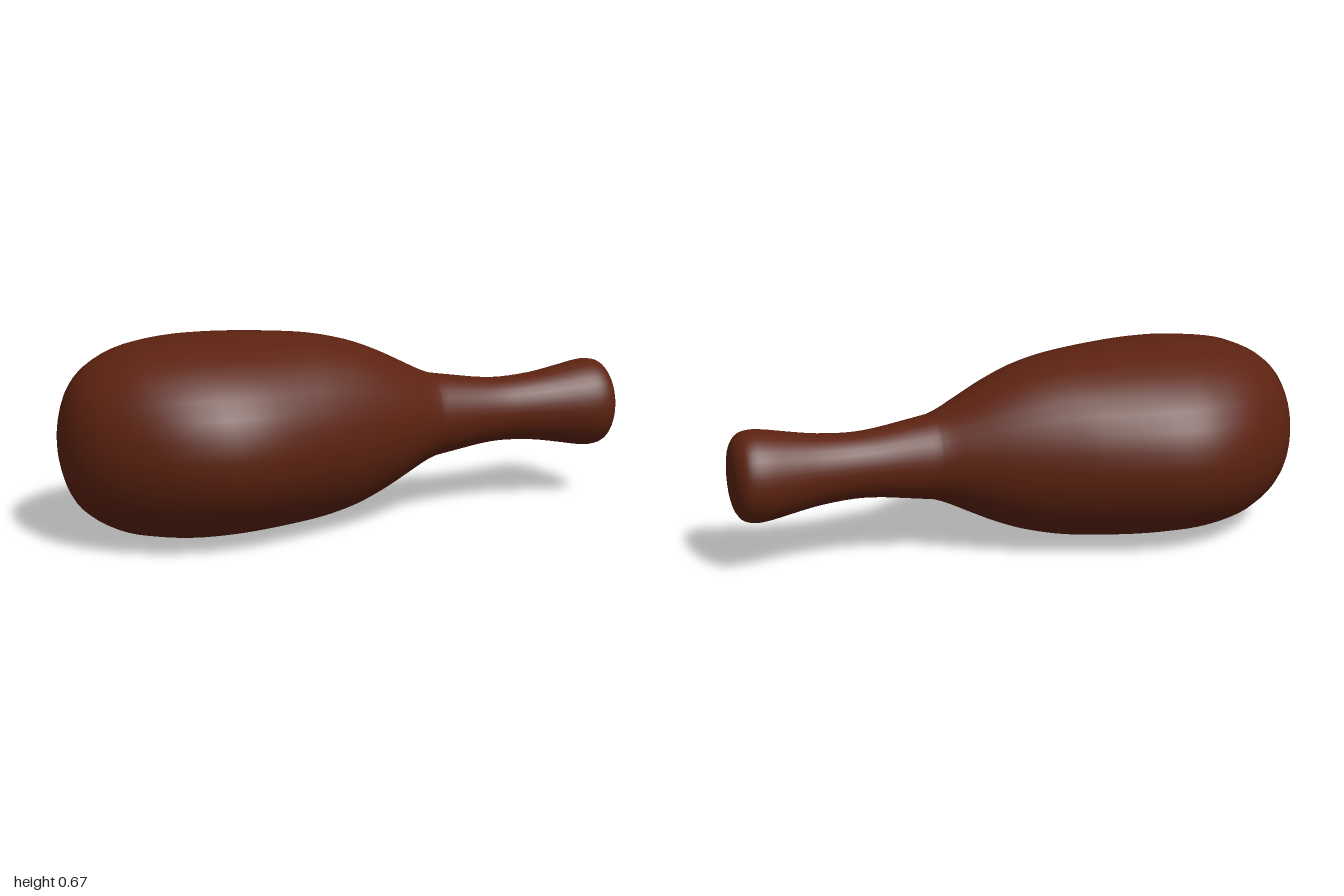
import * as THREE from 'three';
import { mergeVertices } from 'three/addons/utils/BufferGeometryUtils.js';

const SIDES = 32;
const CENTRE_Y = 0.34;

// Cross-sections along the length: [x, half height, half depth]
const BULB = [
  [-1, 0, 0], [-0.99, 0.095, 0.09], [-0.955, 0.19, 0.175], [-0.9, 0.25, 0.25],
  [-0.8, 0.303, 0.336], [-0.7, 0.325, 0.394], [-0.6, 0.335, 0.427],
  [-0.52, 0.337, 0.437], [-0.4, 0.335, 0.425], [-0.2, 0.322, 0.363],
  [-0.1, 0.309, 0.325], [0, 0.285, 0.284], [0.1, 0.246, 0.24],
  [0.2, 0.197, 0.19], [0.27, 0.162, 0.154], [0.31, 0.147, 0.138],
];
const NECK = [
  [0.31, 0.147, 0.138], [0.4, 0.133, 0.122], [0.5, 0.118, 0.109],
  [0.58, 0.113, 0.104], [0.7, 0.121, 0.111], [0.8, 0.138, 0.127],
  [0.88, 0.153, 0.141], [0.925, 0.156, 0.143], [0.96, 0.146, 0.134],
  [0.985, 0.115, 0.105], [0.997, 0.06, 0.055], [1, 0, 0],
];

function smoothSections(sections, count) {
  const points = sections.map(([x, h, d]) => new THREE.Vector3(x, h, d));
  return new THREE.CatmullRomCurve3(points).getPoints(count);
}

// Round lathe along x, then squashed to an ellipse at every section
function ellipticLoft(sections) {
  const profile = sections.map((s) => new THREE.Vector2(Math.max(s.y, 0), s.x));
  const lathe = new THREE.LatheGeometry(profile, SIDES);
  lathe.rotateZ(-Math.PI / 2);
  const pos = lathe.attributes.position;
  for (let i = 0; i < pos.count; i++) {
    const s = sections[i % sections.length];
    if (s.y > 1e-6) pos.setZ(i, pos.getZ(i) * s.z / s.y);
  }
  // Weld the seam and the poles for continuous shading
  lathe.deleteAttribute('uv');
  lathe.deleteAttribute('normal');
  const geometry = mergeVertices(lathe, 1e-5);
  geometry.computeVertexNormals();
  return geometry;
}

export function createModel() {
  const group = new THREE.Group();
  // Bulb and neck meet in a slight crease at the shoulder
  const sections = [...smoothSections(BULB, 48), ...smoothSections(NECK, 36).slice(1)];
  const body = new THREE.Mesh(
    ellipticLoft(sections),
    new THREE.MeshStandardMaterial({ color: 0x5c2210 }),
  );
  body.name = 'bulbAndNeck';
  body.position.y = CENTRE_Y;
  group.add(body);
  return group;
}
